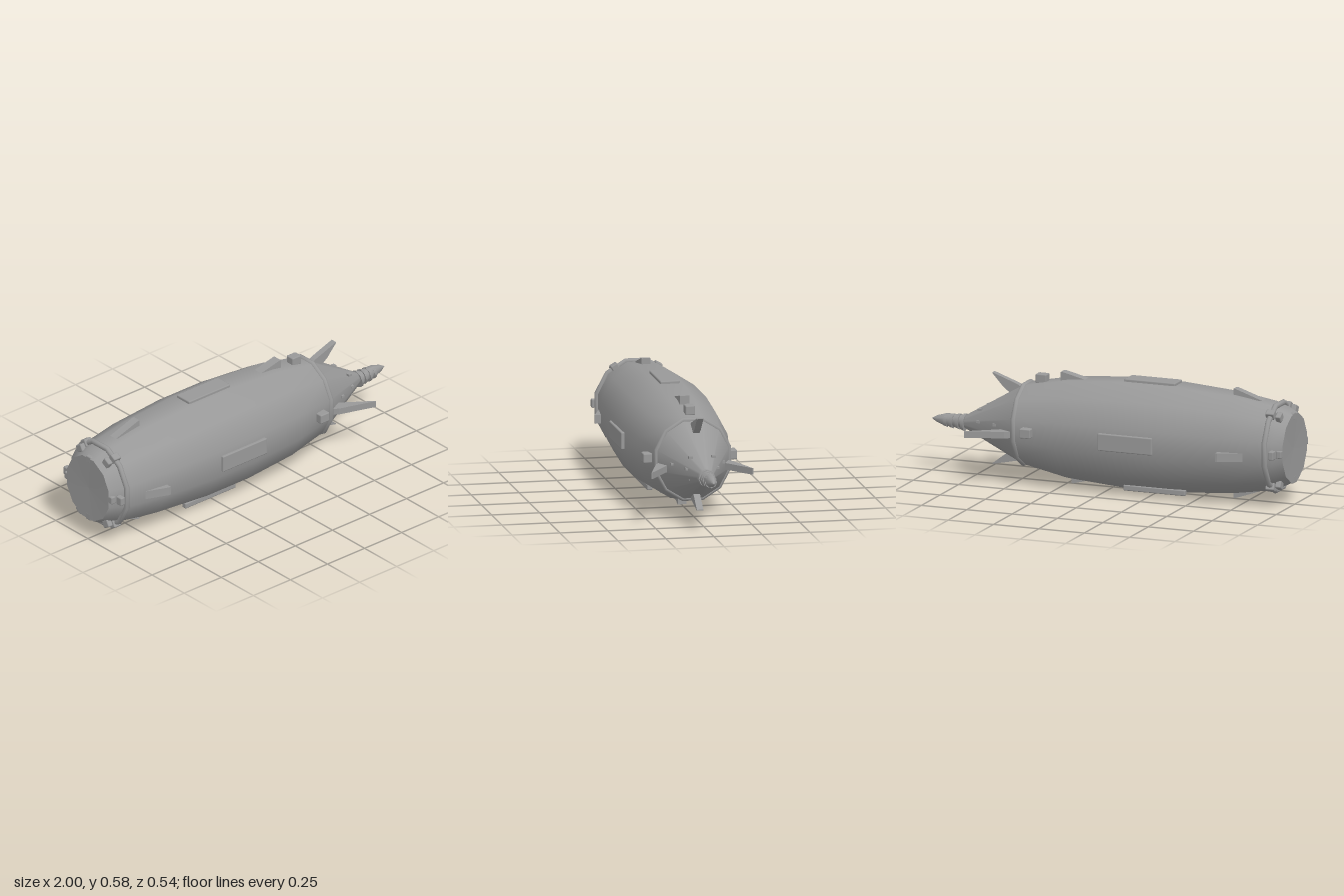
import * as THREE from 'three';
import { RoundedBoxGeometry } from 'three/addons/geometries/RoundedBoxGeometry.js';

const AXIS = 0.295, FLAT = 0.925; // axis height, sideways squash of the hull
const TOP = 0, LEFT = Math.PI / 2, BOTTOM = Math.PI, BACK = -Math.PI / 2;

// Twelve-sided skin along x from sections [x, centre y, radius]
function loft(sections, sides = 12) {
  const pos = [], index = [];
  sections.forEach(([x, cy, r]) => {
    for (let i = 0; i < sides; i++) {
      const a = ((i + 0.5) / sides) * Math.PI * 2;
      pos.push(x, cy + r * Math.sin(a), r * FLAT * Math.cos(a));
    }
  });
  for (let s = 0; s < sections.length - 1; s++) {
    for (let i = 0; i < sides; i++) {
      const j = (i + 1) % sides, p = s * sides, q = p + sides;
      index.push(p + i, q + i, q + j, p + i, q + j, p + j);
    }
  }
  const geo = new THREE.BufferGeometry();
  geo.setAttribute('position', new THREE.Float32BufferAttribute(pos, 3));
  geo.setIndex(index);
  geo.computeVertexNormals();
  return geo;
}

// Side outline [x, distance from axis] given a centred thickness
function slab(points, width) {
  const shape = new THREE.Shape(points.map(([x, y]) => new THREE.Vector2(x, y)));
  return new THREE.ExtrudeGeometry(shape, { depth: width, bevelEnabled: false }).translate(0, 0, -width / 2);
}

export function createModel() {
  const model = new THREE.Group();
  const grey = new THREE.MeshStandardMaterial({ color: 0x999999 });
  grey.name = 'hull grey';

  const add = (name, geo) => {
    const mesh = new THREE.Mesh(geo, grey);
    mesh.name = name;
    model.add(mesh);
    return mesh;
  };
  // Turns a part built above the axis to any side of the hull
  const mount = (name, geo, angle, y = AXIS) => {
    const mesh = add(name, geo);
    mesh.rotation.x = angle;
    mesh.position.y = y;
    return mesh;
  };
  const block = (x0, x1, r0, r1, width, z = 0) =>
    new RoundedBoxGeometry(x1 - x0, r1 - r0, width, 1, 0.006).translate((x0 + x1) / 2, (r0 + r1) / 2, z);

  // Hull, rear cap and nose cone
  add('hull', loft([
    [-1, AXIS, 0.182], [-0.95, AXIS, 0.207], [-0.88, AXIS, 0.231], [-0.68, AXIS, 0.262], [-0.36, AXIS, 0.285],
    [-0.08, AXIS, 0.285], [0.23, AXIS, 0.262], [0.48, AXIS, 0.212]]));
  add('rearCap', loft([[-0.995, AXIS, 0.0001], [-1, AXIS, 0.182]]));
  add('noseCone', loft([[0.48, AXIS, 0.212], [0.83, 0.269, 0.025]]));

  // Hoops around the rear and the nose joint
  [['rearHoop', -0.915, 0.228], ['noseHoop', 0.475, 0.21]].forEach(([name, x, r]) => {
    const geo = new THREE.TorusGeometry(r, 0.015, 8, 12);
    geo.rotateZ(Math.PI / 12).rotateY(Math.PI / 2).scale(1, 1, FLAT);
    add(name, geo).position.set(x, AXIS, 0);
  });

  // Clamps around the tail
  for (let i = 0; i < 6; i++) {
    const angle = LEFT + (i * Math.PI) / 3;
    mount('tailStud', block(-0.972, -0.942, 0.185, 0.225, 0.045), angle);
    if (i % 3) mount('hoopClamp', block(-0.937, -0.89, 0.2, 0.24, 0.04), angle);
  }
  [TOP, LEFT, BOTTOM, BACK].forEach((a) => mount('capStud', block(-1, -0.97, 0.145, 0.185, 0.04), a));

  // Raised panels and belly skids
  mount('topPanel', block(-0.36, -0.08, 0.26, 0.29, 0.1), TOP);
  mount('bellyPanel', block(-0.36, -0.08, 0.26, 0.295, 0.1), BOTTOM);
  [LEFT, BACK].forEach((a) => mount('sidePanel', block(-0.32, -0.02, 0.235, 0.268, 0.09), a));
  [-0.1, 0.1].forEach((z) => mount('bellySkid', block(-0.44, -0.1, 0.25, 0.28, 0.03, z), BOTTOM));

  // Wedge fins on the hull
  const wedge = (x0, x1, r0, r1, w) => slab([[x0, r0], [x1, r0 - 0.02], [x1, r1], [x1 - 0.01, r1]], w);
  mount('topRearFin', wedge(-0.83, -0.67, 0.235, 0.285, 0.045), TOP);
  mount('bottomRearFin', wedge(-0.83, -0.67, 0.235, 0.288, 0.045), BOTTOM);
  [LEFT, BACK].forEach((a) => mount('sideRearFin', wedge(-0.8, -0.67, 0.218, 0.265, 0.045), a, 0.272));
  mount('topFrontFin', wedge(0.13, 0.28, 0.255, 0.288, 0.05), TOP);
  mount('bottomFrontFin', wedge(0.08, 0.22, 0.255, 0.29, 0.045), BOTTOM);

  // Blocks and swept blades around the nose joint
  [[TOP, 0.265, 0.25], [LEFT, 0.245, 0.265], [BOTTOM, 0.23, 0.23], [BACK, 0.245, 0.265]].forEach(([a, blockR, tipR]) => {
    const side = a === LEFT || a === BACK;
    mount('noseBlock', block(0.36, 0.42, blockR - 0.05, blockR, 0.05), a);
    const tipX = side ? 0.715 : 0.66;
    const blade = slab([[0.49, 0.18], [0.56, 0.15], [0.6, 0.18], [tipX, tipR - 0.004], [tipX, tipR], [0.52, 0.2]], 0.034);
    mount('noseBlade', blade, a, side ? 0.268 : AXIS);
  });

  // Small spikes on the nose cone
  [[0.6, 0.3, 0.13], [0.71, 0.295, 0.078], [0.71, 0.355, 0.06], [0.71, 0.243, 0.06]].forEach(([x, y, z]) => {
    [-1, 1].forEach((s) => {
      const spike = add('noseSpike', new THREE.BoxGeometry(0.018, 0.012, 0.022));
      spike.position.set(x, y, s * z);
    });
  });

  // Drill tip with collars
  add('drillTip', loft([[0.8, 0.27, 0.034], [0.92, 0.271, 0.034], [0.97, 0.272, 0.018], [1, 0.272, 0.0005]], 8));
  [[0.82, 0.048], [0.852, 0.042], [0.885, 0.04], [0.918, 0.035]].forEach(([x, r], i) => {
    const collar = add('drillCollar', new THREE.CylinderGeometry(r * 0.92, r, 0.017, 8));
    collar.rotation.z = -Math.PI / 2 + 0.1;
    collar.position.set(x, i ? 0.268 : 0.266, 0);
  });

  return model;
}
